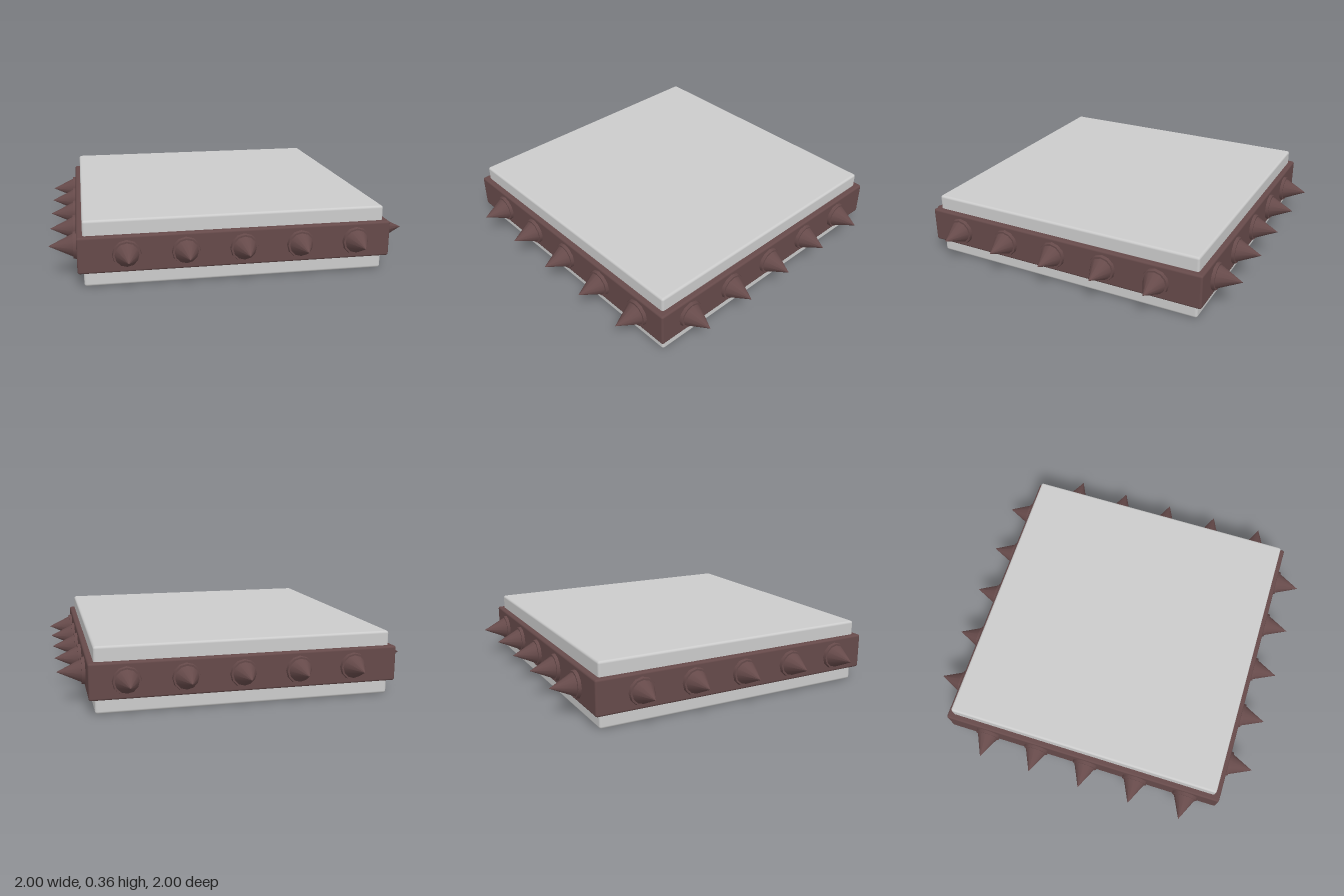
import * as THREE from 'three';
import { RoundedBoxGeometry } from 'three/addons/geometries/RoundedBoxGeometry.js';

export function createModel() {
  const model = new THREE.Group();
  model.name = 'spikedSlab';
  const grey = new THREE.MeshStandardMaterial({ color: 0xcccccc });
  const brown = new THREE.MeshStandardMaterial({ color: 0x664a4a });
  const midY = 0.18;

  function add(parent, name, geometry, material, y) {
    const mesh = new THREE.Mesh(geometry, material);
    mesh.name = name;
    mesh.position.y = y;
    parent.add(mesh);
    return mesh;
  }

  // Square slab with a wider band around its middle
  add(model, 'slab', new RoundedBoxGeometry(1.636, 0.36, 1.636, 2, 0.014), grey, midY);
  add(model, 'band', new RoundedBoxGeometry(1.7, 0.198, 1.7, 2, 0.012), brown, midY);

  // Studs: a short round base and a cone, pointing along +y before placing
  const baseGeometry = new THREE.CylinderGeometry(0.074, 0.078, 0.022, 12);
  const coneGeometry = new THREE.ConeGeometry(0.066, 0.136, 12);
  function createSpike() {
    const spike = new THREE.Group();
    spike.name = 'spike';
    add(spike, 'spikeBase', baseGeometry, brown, 0.007);
    add(spike, 'spikeCone', coneGeometry, brown, 0.082);
    return spike;
  }

  // Five studs per side, the row set slightly toward +x or +z
  for (let i = 0; i < 5; i++) {
    const along = 0.03 + (i - 2) * 0.312;
    for (const s of [-1, 1]) {
      const endSpike = createSpike();
      endSpike.position.set(along, midY, s * 0.85);
      endSpike.rotation.x = s * Math.PI / 2;
      const sideSpike = createSpike();
      sideSpike.position.set(s * 0.85, midY, along);
      sideSpike.rotation.z = -s * Math.PI / 2;
      model.add(endSpike, sideSpike);
    }
  }
  return model;
}
